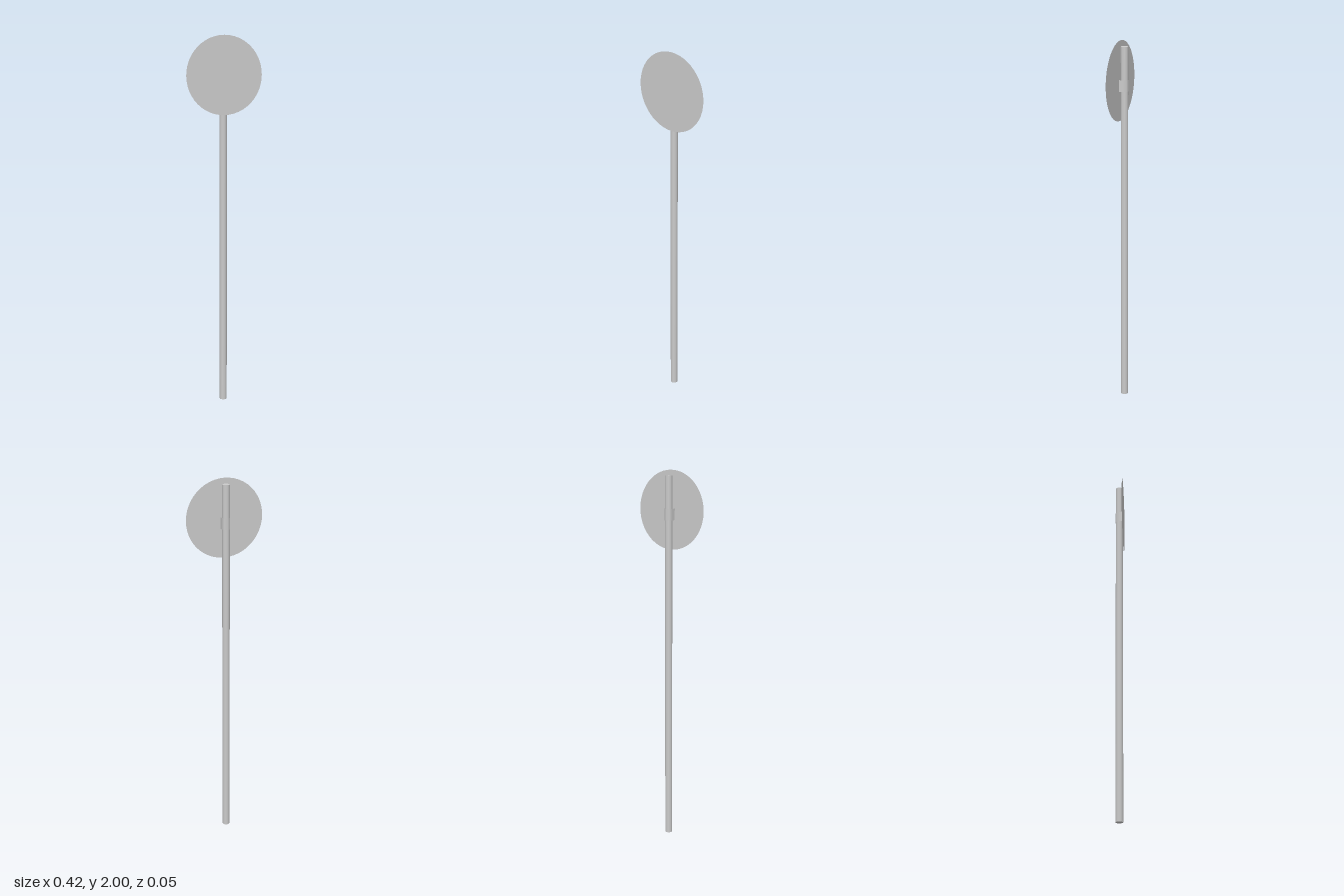
import * as THREE from 'three';

export function createModel() {
  const group = new THREE.Group();
  const grey = new THREE.MeshStandardMaterial({ color: 0xcccccc });
  const thin = new THREE.MeshStandardMaterial({ color: 0xcccccc, side: THREE.DoubleSide });

  const add = (name, geometry, material, y, z = 0) => {
    const mesh = new THREE.Mesh(geometry, material);
    mesh.name = name;
    mesh.position.set(0, y, z);
    group.add(mesh);
    return mesh;
  };

  const plateZ = 0.022;

  // Upright pole, ending just below the top of the plate
  const poleHeight = 1.97;
  add('pole', new THREE.CylinderGeometry(0.02, 0.02, poleHeight, 10), grey, poleHeight / 2);

  // Thin round sign plate
  add('signPlate', new THREE.CircleGeometry(0.208, 48), thin, 1.792, plateZ);

  // Open clamp band: half ring round the back of the pole
  const r = 0.023, bandHeight = 0.06, bandY = 1.77;
  add('clampBand',
    new THREE.CylinderGeometry(r, r, bandHeight, 4, 1, true, Math.PI / 2, Math.PI),
    thin, bandY);

  // Straight clamp arms reaching forward to the plate
  for (const side of [-1, 1]) {
    const arm = add(side > 0 ? 'leftClampArm' : 'rightClampArm',
      new THREE.PlaneGeometry(plateZ, bandHeight), thin, bandY, plateZ / 2);
    arm.position.x = side * r;
    arm.rotation.y = side * Math.PI / 2;
  }

  return group;
}
